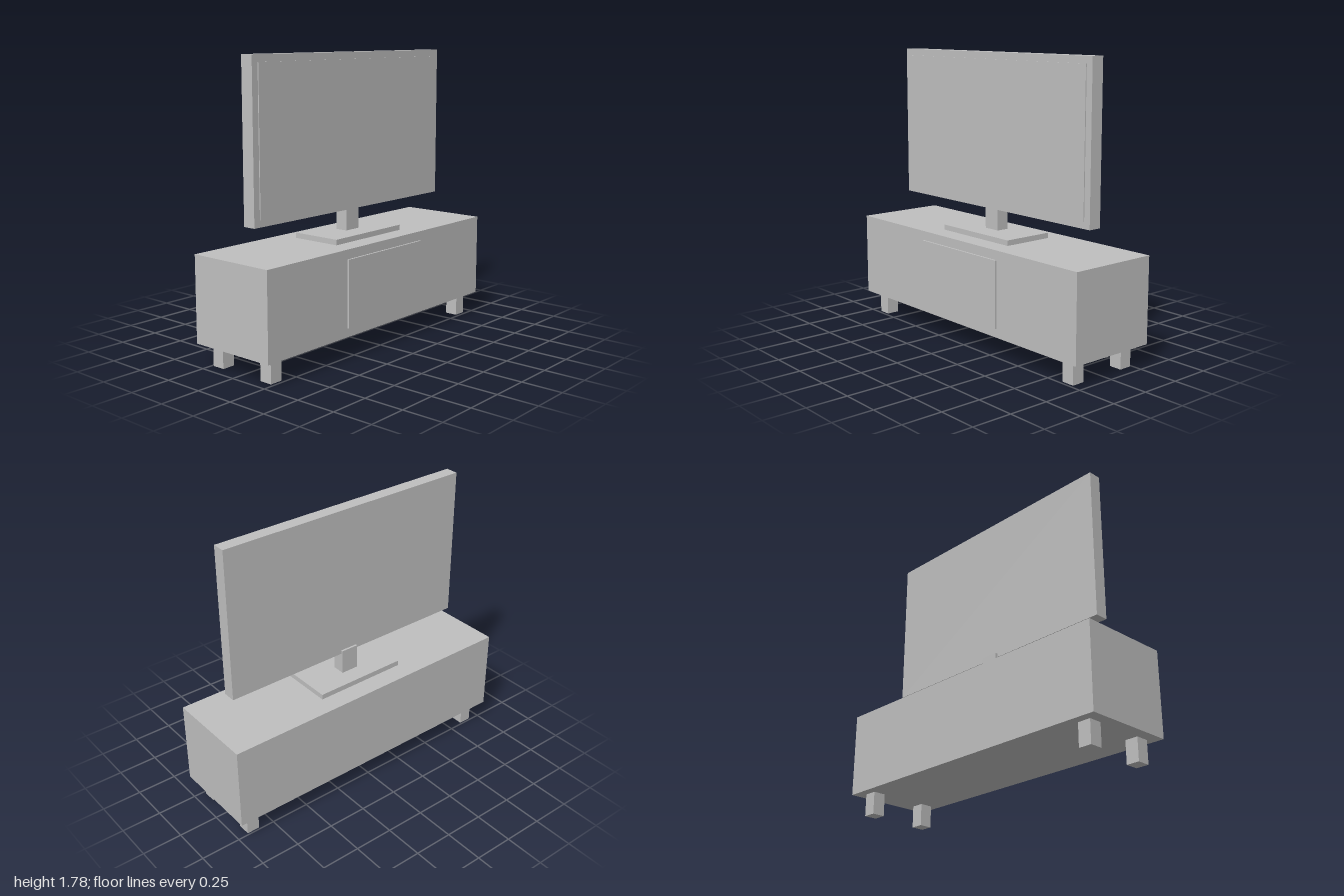
import * as THREE from 'three';

const grey = new THREE.MeshStandardMaterial({ color: 0xbfbfbf });
grey.name = 'plain grey';

// Box given by its extents on each axis
function box(name, [x0, x1], [y0, y1], [z0, z1]) {
  const mesh = new THREE.Mesh(new THREE.BoxGeometry(x1 - x0, y1 - y0, z1 - z0), grey);
  mesh.position.set((x0 + x1) / 2, (y0 + y1) / 2, (z0 + z1) / 2);
  mesh.name = name;
  return mesh;
}

export function createModel() {
  const model = new THREE.Group();
  model.name = 'televisionOnCabinet';

  // Cabinet with a raised door panel
  const cabinet = new THREE.Group();
  cabinet.name = 'cabinet';
  cabinet.add(
    box('cabinetBody', [-1, 1], [0.14, 0.665], [-0.295, 0.283]),
    box('cabinetDoor', [-0.35, 0.35], [0.195, 0.607], [0.283, 0.295])
  );

  // Four square legs
  for (const [side, x] of [['Left', 0.887], ['Right', -0.887]]) {
    for (const [end, z] of [['front', 0.188], ['back', -0.197]]) {
      cabinet.add(box(`${end}${side}Leg`, [x - 0.041, x + 0.041], [0, 0.14], [z - 0.041, z + 0.041]));
    }
  }

  // Television: foot, neck, casing and thin screen
  const television = new THREE.Group();
  television.name = 'television';
  television.add(
    box('standBase', [-0.303, 0.303], [0.665, 0.698], [-0.171, 0.158]),
    box('standNeck', [-0.057, 0.057], [0.698, 0.855], [-0.06, 0.022]),
    box('casing', [-0.849, 0.849], [0.831, 1.785], [-0.046, 0.036]),
    box('screen', [-0.806, 0.806], [0.873, 1.743], [0.036, 0.042])
  );

  model.add(cabinet, television);
  return model;
}
